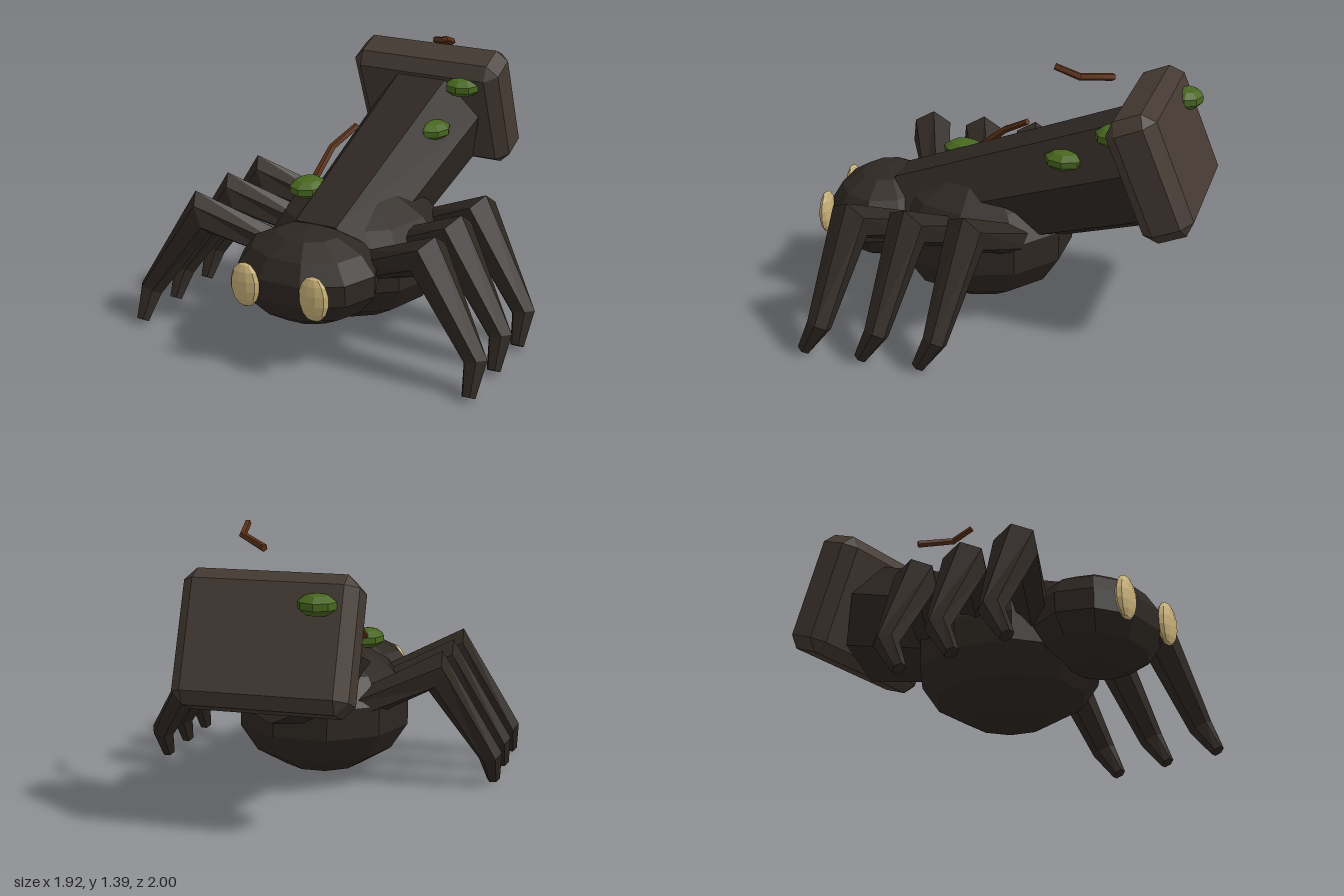
import * as THREE from 'three';
import { ConvexGeometry } from 'three/addons/geometries/ConvexGeometry.js';

const mat = (color) => new THREE.MeshStandardMaterial({ color, flatShading: true });
const shell = mat(0x2e2722);
const slab = mat(0x453a33);
const mossGreen = mat(0x48671f);
const cream = mat(0xc8b078);
const bark = mat(0x5a3018);

// Faceted limb: rings of n sides along a path, one radius per point, closed ends
function loft(path, radii, n, ref) {
  const pts = path.map((p) => new THREE.Vector3(...p));
  const pos = [];
  const index = [];
  const last = pts.length - 1;
  pts.forEach((p, j) => {
    const t = new THREE.Vector3();
    if (j > 0) t.add(p.clone().sub(pts[j - 1]).normalize());
    if (j < last) t.add(pts[j + 1].clone().sub(p).normalize());
    t.normalize();
    const up = new THREE.Vector3(...ref);
    up.addScaledVector(t, -up.dot(t)).normalize();
    const side = t.clone().cross(up);
    for (let i = 0; i < n; i++) {
      const a = ((i + 0.5) / n) * Math.PI * 2;
      const v = p.clone()
        .addScaledVector(up, radii[j] * Math.cos(a))
        .addScaledVector(side, radii[j] * Math.sin(a));
      pos.push(v.x, v.y, v.z);
    }
  });
  const c0 = pos.length / 3;
  for (const p of [pts[0], pts[last]]) pos.push(p.x, p.y, p.z);
  for (let i = 0; i < n; i++) {
    const k = (i + 1) % n;
    for (let j = 0; j < last; j++) {
      const a = j * n;
      const b = a + n;
      index.push(a + i, a + k, b + k, a + i, b + k, b + i);
    }
    index.push(c0, k, i, c0 + 1, last * n + i, last * n + k);
  }
  const g = new THREE.BufferGeometry();
  g.setAttribute('position', new THREE.Float32BufferAttribute(pos, 3));
  g.setIndex(index);
  g.computeVertexNormals();
  return g;
}

// Box with a single flat chamfer on every edge
function chamferBox(w, h, d, c) {
  const pts = [];
  const half = [w / 2, h / 2, d / 2];
  for (const sx of [-1, 1]) for (const sy of [-1, 1]) for (const sz of [-1, 1]) {
    const s = [sx, sy, sz];
    for (let full = 0; full < 3; full++) {
      pts.push(new THREE.Vector3(...half.map((v, i) => s[i] * (i === full ? v : v - c))));
    }
  }
  return new ConvexGeometry(pts);
}

export function createModel() {
  const model = new THREE.Group();

  function add(name, geometry, material, position = [0, 0, 0]) {
    const mesh = new THREE.Mesh(geometry, material);
    mesh.name = name;
    mesh.position.set(...position);
    model.add(mesh);
    return mesh;
  }

  function blob(name, material, position, radii, across, rings) {
    add(name, new THREE.SphereGeometry(1, across, rings), material, position).scale.set(...radii);
  }

  // Body and head
  blob('body', shell, [0, 0.375, 0.17], [0.467, 0.345, 0.485], 10, 7);
  blob('head', shell, [0, 0.422, 0.69], [0.37, 0.235, 0.3], 10, 7);

  // Thick seven-sided stem rising to the back
  add('stem', loft([[0, 0.425, 0.54], [0, 0.804, -0.655]], [0.255, 0.318], 7, [0, 1, 0]), shell);

  // Tilted slab at the end of the stem
  add('endSlab', chamferBox(0.85, 0.65, 0.265, 0.06), slab, [0, 0.897, -0.777])
    .rotation.x = THREE.MathUtils.degToRad(22);

  // Eyes and three legs, mirrored
  for (const s of [1, -1]) {
    const label = s > 0 ? 'left' : 'right';
    blob(`${label}Eye`, cream, [s * 0.185, 0.433, 0.967], [0.08, 0.113, 0.033], 10, 7);

    ['Back', 'Middle', 'Front'].forEach((row, i) => {
      const z = 0.063 + i * 0.297;
      const path = [
        [s * 0.22, 0.425, z - 0.17],
        [s * 0.62, 0.613, z],
        [s * 0.9, 0.17, z + 0.07],
        [s * 0.905, 0.025, z + 0.155],
      ];
      add(`${label}${row}Leg`, loft(path, [0.075, 0.112, 0.062, 0.035], 6, [0, 0, 1]), shell);
    });
  }

  // Moss clumps
  const clumps = [
    [[-0.195, 0.71, 0.33], [0.095, 0.052, 0.115]],
    [[0.24, 1.05, -0.57], [0.095, 0.052, 0.095]],
    [[0.185, 0.877, -0.32], [0.095, 0.05, 0.11]],
    [[-0.25, 1.1, -0.84], [0.098, 0.055, 0.085]],
  ];
  for (const [p, r] of clumps) blob('mossClump', mossGreen, p, r, 8, 5);

  // Bent twigs
  const twigs = [
    [[0.1, 1.3, -0.53], [0.25, 1.34, -0.4], [0.262, 1.385, -0.28]],
    [[-0.205, 0.72, 0.26], [-0.185, 0.85, 0.1], [-0.115, 0.935, -0.04]],
  ];
  for (const path of twigs) add('twig', loft(path, [0.02, 0.019, 0.017], 5, [0, 1, 0]), bark);

  return model;
}
